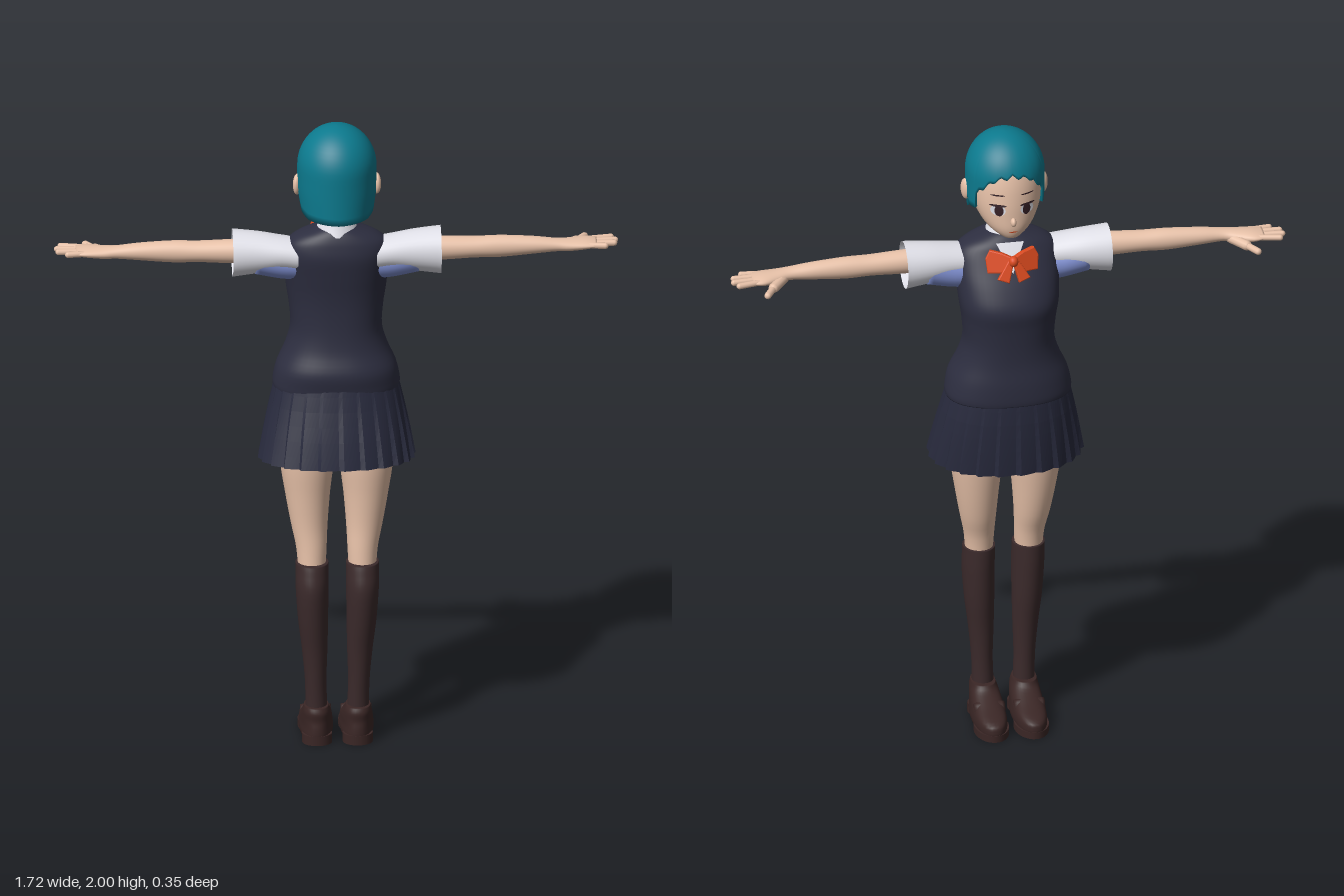
import * as THREE from 'three';
import { mergeVertices } from 'three/addons/utils/BufferGeometryUtils.js';

const mat = (name, color, side = THREE.FrontSide) => {
  const m = new THREE.MeshStandardMaterial({ color, side });
  m.name = name;
  return m;
};

// Catmull-Rom resampling of section rows
function smooth(rows, n = 4) {
  const out = [];
  for (let i = 0; i < rows.length - 1; i++) {
    const [a, b, c, d] = [-1, 0, 1, 2].map(k => rows[Math.min(rows.length - 1, Math.max(0, i + k))]);
    for (let j = 0; j < n; j++) {
      const t = j / n;
      out.push(b.map((_, k) => 0.5 * (2 * b[k] + (c[k] - a[k]) * t + (2 * a[k] - 5 * b[k] + 4 * c[k] - d[k]) * t * t
        + (3 * b[k] - a[k] - 3 * c[k] + d[k]) * t * t * t)));
    }
  }
  out.push(rows[rows.length - 1]);
  return out;
}

// Skin of rings. Rows are [position, centre1, centre2, radius1, radius2];
// axis 'y' uses (x, z) for 1 and 2, axis 'x' uses (z, y).
function loft(rows, { axis = 'y', seg = 32, power = 2, caps = true, n = 4, mod = () => 1 } = {}) {
  const rings = smooth(rows, n), pos = [], idx = [];
  const put = (t, u, v) => (axis === 'y' ? pos.push(u, t, v) : pos.push(t, v, u));
  const se = c => Math.sign(c) * Math.abs(c) ** (2 / power);
  rings.forEach(([t, c1, c2, r1, r2], i) => {
    for (let j = 0; j < seg; j++) {
      const a = j / seg * Math.PI * 2, m = mod(j, i / (rings.length - 1));
      put(t, c1 + r1 * m * se(Math.cos(a)), c2 + r2 * m * se(Math.sin(a)));
    }
  });
  for (let i = 0; i < rings.length - 1; i++) for (let j = 0; j < seg; j++) {
    const p = i * seg + j, q = i * seg + (j + 1) % seg;
    idx.push(p, p + seg, q, q, p + seg, q + seg);
  }
  if (caps) [0, rings.length - 1].forEach((i, top) => {
    const c = pos.length / 3;
    put(rings[i][0], rings[i][1], rings[i][2]);
    for (let j = 0; j < seg; j++) {
      const p = i * seg + j, q = i * seg + (j + 1) % seg;
      idx.push(...(top ? [c, q, p] : [c, p, q]));
    }
  });
  const g = new THREE.BufferGeometry();
  g.setAttribute('position', new THREE.Float32BufferAttribute(pos, 3));
  g.setIndex(idx);
  g.computeVertexNormals();
  return g;
}

function mirrored(geo) {
  const g = geo.index ? geo.clone() : mergeVertices(geo);
  g.scale(-1, 1, 1);
  const ix = g.index.array;
  for (let i = 0; i < ix.length; i += 3) [ix[i], ix[i + 1]] = [ix[i + 1], ix[i]];
  return g;
}

// Tapering-free rounded finger between two points
function finger(a, b, r) {
  const A = new THREE.Vector3(...a), B = new THREE.Vector3(...b), d = B.clone().sub(A);
  const g = new THREE.CapsuleGeometry(r, d.length(), 4, 10);
  g.applyQuaternion(new THREE.Quaternion().setFromUnitVectors(new THREE.Vector3(0, 1, 0), d.normalize()));
  return g.translate(...A.add(B).multiplyScalar(0.5).toArray());
}

// Flat plate pressed on the front of a lofted surface
function plate(geo, rows, power, lift) {
  const rings = smooth(rows, 8), p = geo.attributes.position;
  geo.rotateY(Math.PI);
  for (let i = 0; i < p.count; i++) {
    const x = p.getX(i), y = p.getY(i);
    const r = rings.reduce((a, b) => (Math.abs(b[0] - y) < Math.abs(a[0] - y) ? b : a));
    const k = Math.max(0, 1 - Math.abs(x / r[3]) ** power) ** (1 / power);
    p.setZ(i, r[2] - r[4] * k - lift);
  }
  geo.computeVertexNormals();
  return geo;
}
const disc = (x, y, w, h) => new THREE.CircleGeometry(1, 24).scale(w, h, 1).translate(-x, y, 0);

export function createModel() {
  const root = new THREE.Group();
  root.name = 'schoolgirl';
  const M = {
    hair: mat('teal hair', 0x0c7a8e, THREE.DoubleSide), skin: mat('skin', 0xe8c2a9),
    vest: mat('navy vest', 0x2d2e40), skirt: mat('navy skirt', 0x282a3d, THREE.DoubleSide),
    sock: mat('brown sock', 0x3b2a2b), shoe: mat('brown shoe', 0x3a2625),
    shirt: mat('white shirt', 0xe2e2ea, THREE.DoubleSide), shade: mat('blue shirt lining', 0x7f8fd0),
    bow: mat('orange bow', 0xdc4a1f), eye: mat('dark eye', 0x352026),
  };
  const add = (name, geo, m) => {
    const mesh = new THREE.Mesh(geo, m);
    mesh.name = name;
    root.add(mesh);
  };
  const pair = (name, geo, m) => {
    add(name + 'Left', geo, m);
    add(name + 'Right', mirrored(geo), m);
  };

  // Head, neck and ears; the face looks along -z
  const head = [[1.684, 0, -.085, .012, .014], [1.693, 0, -.072, .035, .043], [1.72, 0, -.045, .07, .08],
    [1.76, 0, -.022, .095, .104], [1.81, 0, -.008, .109, .116], [1.87, 0, 0, .112, .115],
    [1.92, 0, .005, .1, .1], [1.97, 0, .005, .05, .05]];
  add('head', loft(head, { seg: 40 }), M.skin);
  add('neck', loft([[1.6, 0, .0, .05, .05], [1.68, 0, 0, .043, .043], [1.76, 0, 0, .046, .046]]), M.skin);
  add('nose', new THREE.SphereGeometry(1, 16, 12).scale(.009, .014, .014).translate(0, 1.752, -.13), M.skin);
  pair('ear', new THREE.SphereGeometry(1, 16, 12).scale(.013, .034, .022).rotateY(.3).translate(.121, 1.81, .012), M.skin);

  // Painted face
  const face = (name, x, y, w, h, m, lift) => pair(name, plate(disc(x, y, w, h), head, 2, lift), m);
  face('eyeWhite', .045, 1.79, .022, .018, M.shirt, .002);
  face('iris', .043, 1.79, .013, .018, M.eye, .004);
  face('lash', .046, 1.807, .025, .004, M.eye, .005);
  face('brow', .046, 1.84, .022, .0025, M.eye, .004);
  add('mouth', plate(disc(0, 1.718, .014, .002), head, 2, .004), M.bow);

  // Hair shell whose lower edge follows the angle from the front
  const edge = [[0, 1.9], [.4, 1.89], [.68, 1.865], [1.03, 1.825], [1.08, 1.775], [1.38, 1.77], [1.45, 1.79],
    [1.72, 1.78], [1.85, 1.735], [2.2, 1.722], [Math.PI, 1.718]];
  const edgeY = b => {
    const i = Math.max(1, edge.findIndex(e => e[0] >= b - 1e-6));
    const [p, q] = [edge[i - 1], edge[i]];
    const y = p[1] + (q[1] - p[1]) * (b - p[0]) / (q[0] - p[0]);
    return b < 1.05 ? y + .013 * (Math.abs((b * 6.5) % 2 - 1) - .5) : y;
  };
  const S = 128, R = 20, hp = [], hi = [];
  for (let i = 0; i <= R + 1; i++) for (let j = 0; j < S; j++) {
    const a = j / S * Math.PI * 2, b = Math.min(a, Math.PI * 2 - a), e = edgeY(b);
    const y = i > R ? e + .008 : 2 - (2 - e) * (1 - Math.cos(i / R * Math.PI / 2));
    let s = y > 1.87 ? Math.sqrt(Math.max(0, 1 - ((y - 1.87) / .13) ** 2)) : 1;
    if (i > R) s *= .8;
    const tuck = y < 1.8 ? 1 - (1.8 - y) * .9 : 1;
    hp.push(.121 * s * tuck * Math.sin(a), y, .007 - (b < Math.PI / 2 ? .13 : .134) * s * Math.cos(a));
  }
  for (let i = 0; i <= R; i++) for (let j = 0; j < S; j++) {
    const p = i * S + j, q = i * S + (j + 1) % S;
    hi.push(p, q, p + S, q, q + S, p + S);
  }
  const hair = new THREE.BufferGeometry();
  hair.setAttribute('position', new THREE.Float32BufferAttribute(hp, 3));
  hair.setIndex(hi);
  hair.computeVertexNormals();
  add('hair', hair, M.hair);

  // Vest, shirt front and collar
  const torso = [[1.14, 0, -.038, .193, .135], [1.16, 0, -.038, .194, .137], [1.21, 0, -.035, .183, .138],
    [1.27, 0, -.042, .156, .124], [1.33, 0, -.047, .14, .119], [1.4, 0, -.051, .144, .12],
    [1.46, 0, -.052, .153, .124], [1.52, 0, -.035, .158, .115], [1.58, 0, -.013, .16, .1],
    [1.62, 0, -.004, .152, .085], [1.645, 0, -.002, .122, .075], [1.665, 0, 0, .075, .062], [1.675, 0, 0, .05, .05]];
  add('vest', loft(torso, { seg: 48, power: 2.3 }), M.vest);
  const vee = new THREE.CircleGeometry(1, 3).rotateZ(-Math.PI / 2).scale(.05, .055, 1).translate(0, 1.628, 0);
  add('shirtFront', plate(vee, torso, 2.3, .008), M.shirt);
  const collar = loft([[1.635, 0, -.008, .078, .078], [1.665, 0, -.004, .063, .063], [1.695, 0, 0, .05, .05]], { caps: false });
  const cp = collar.attributes.position;
  for (let i = 0; i < cp.count; i++) cp.setY(i, cp.getY(i) + cp.getZ(i) * .25);
  collar.computeVertexNormals();
  add('collar', collar, M.shirt);

  // Bow: loops, tails and knot
  const ribbon = pts => new THREE.ExtrudeGeometry(new THREE.Shape(pts.map(p => new THREE.Vector2(...p))),
    { depth: .012, bevelEnabled: true, bevelSize: .004, bevelThickness: .005, bevelSegments: 2 });
  const place = (g, turn) => g.rotateY(turn).rotateX(.3).translate(0, 1.618, -.13);
  pair('bowLoop', place(ribbon([[.006, -.01], [.04, -.032], [.078, -.03], [.082, .012], [.07, .034], [.035, .024], [.006, .01]]), -.3), M.bow);
  pair('bowTail', place(ribbon([[.002, 0], [.018, -.062], [.046, -.052], [.014, 0]]), -.1), M.bow);
  add('bowKnot', place(new THREE.SphereGeometry(1, 16, 12).scale(.015, .017, .016), 0), M.bow);

  // Pleated skirt with sharp folds
  const skirt = loft([[.918, 0, .001, .235, .172], [1.0, 0, -.013, .222, .16], [1.09, 0, -.028, .205, .145], [1.17, 0, -.037, .187, .131]],
    { seg: 120, power: 2.15, caps: false, n: 2, mod: (j, v) => 1 + (1 - v) * (.05 * ((j % 5) / 4) - .02) });
  const sp = skirt.attributes.position;
  for (let i = 0; i < sp.count; i++) sp.setY(i, sp.getY(i) + sp.getZ(i) * .07);
  const folds = skirt.toNonIndexed();
  folds.computeVertexNormals();
  add('skirt', folds, M.skirt);

  // Sleeves with blue underarm
  const X = { axis: 'x' };
  pair('sleeve', loft([[.12, 0, 1.578, .062, .05], [.17, -.004, 1.583, .064, .052], [.24, -.01, 1.582, .068, .064],
    [.318, -.013, 1.58, .073, .074]], { axis: 'x', caps: false }), M.shirt);
  pair('underarm', loft([[.11, -.012, 1.548, .06, .054], [.17, -.012, 1.552, .062, .054], [.25, -.012, 1.57, .063, .056]], X), M.shade);

  // Arms and hands
  pair('arm', loft([[.15, 0, 1.59, .042, .04], [.32, -.005, 1.588, .037, .037], [.42, -.008, 1.588, .034, .033],
    [.5, -.011, 1.588, .032, .034], [.6, -.013, 1.589, .029, .027], [.67, -.014, 1.588, .026, .02],
    [.71, -.02, 1.586, .033, .019], [.76, -.03, 1.587, .043, .016], [.795, -.03, 1.588, .04, .01]], X), M.skin);
  const tips = [[.848, -.072, -.058], [.86, -.046, -.04], [.856, -.02, -.02], [.828, .005, -.001]];
  tips.forEach(([x, z, z0], i) => pair('finger' + (i + 1), finger([.77, 1.588, z0], [x - .008, 1.588, z], .0095), M.skin));
  pair('thumbBase', finger([.695, 1.58, -.03], [.735, 1.575, -.078], .016), M.skin);
  pair('thumb', finger([.735, 1.575, -.078], [.762, 1.573, -.122], .011), M.skin);

  // Legs, socks and loafers
  pair('leg', loft([[.52, .077, .03, .04, .045], [.62, .078, .02, .046, .048], [.7, .084, .006, .056, .058],
    [.8, .089, -.002, .069, .07], [.92, .091, -.006, .084, .082], [1.08, .092, -.015, .086, .085]]), M.skin);
  pair('sock', loft([[.06, .064, .032, .033, .038], [.12, .064, .033, .033, .037], [.2, .066, .035, .033, .039],
    [.3, .069, .036, .039, .046], [.4, .074, .037, .046, .059], [.5, .077, .038, .05, .066], [.555, .077, .032, .05, .06],
    [.582, .077, .028, .05, .055]]), M.sock);
  pair('shoeUpper', loft([[.014, .062, -.043, .05, .13], [.03, .062, -.043, .052, .132], [.052, .062, -.038, .05, .126],
    [.075, .062, -.005, .047, .09], [.1, .063, .025, .042, .062], [.118, .064, .03, .037, .05]], { power: 2.3 }), M.shoe);
  pair('shoeStrap', loft([[-.047, -.06, .05, .02, .03], [0, -.06, .06, .02, .026], [.047, -.06, .05, .02, .03]], X)
    .translate(.062, 0, 0), M.shoe);
  pair('sole', new THREE.CylinderGeometry(1, 1, .022, 32).scale(.053, 1, .082).translate(.062, .011, -.094), M.shoe);
  pair('heel', new THREE.CylinderGeometry(1, 1, .03, 32).scale(.046, 1, .042).translate(.062, .015, .047), M.shoe);
  return root;
}
